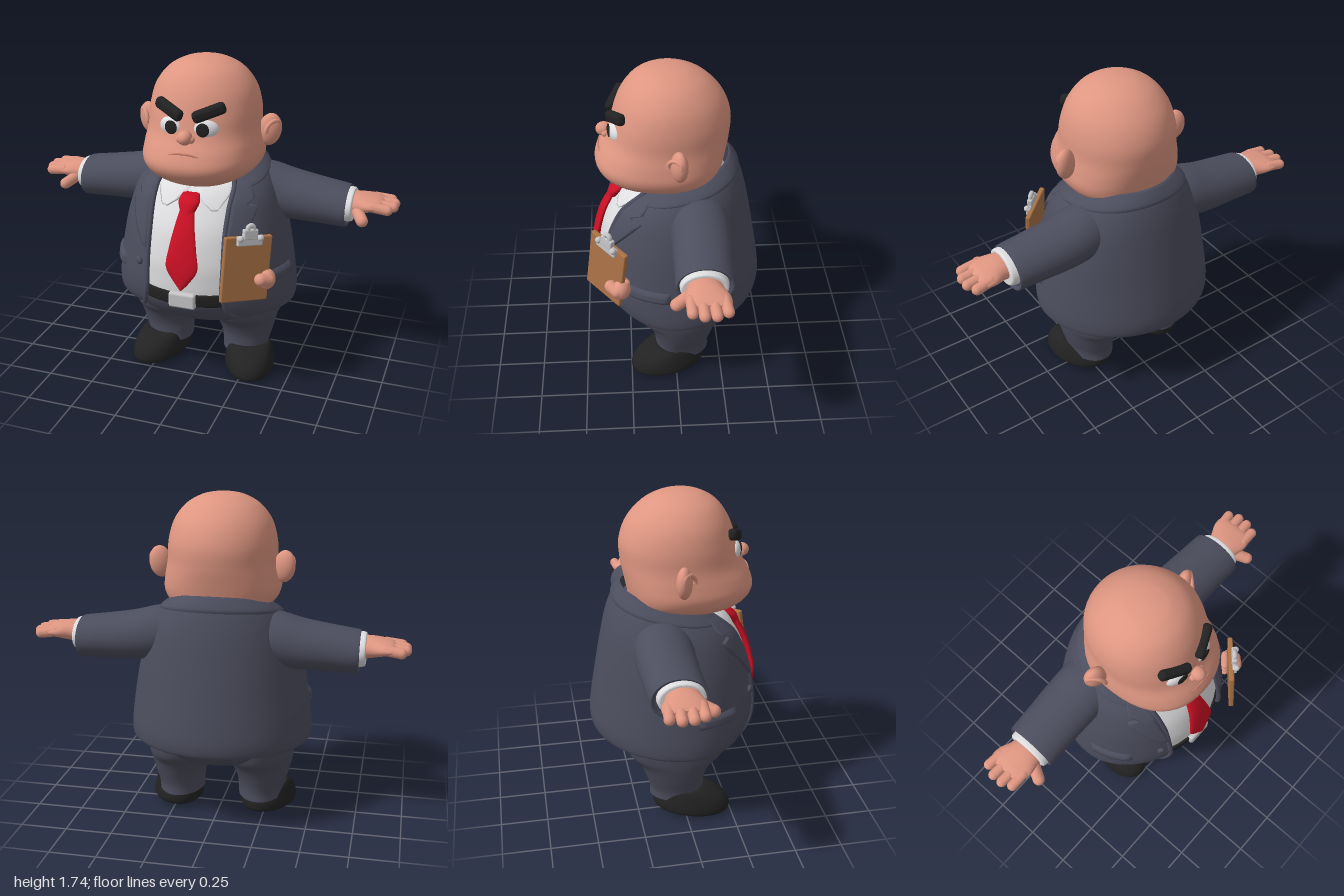
import * as THREE from 'three';
import { mergeVertices } from 'three/addons/utils/BufferGeometryUtils.js';
import { RoundedBoxGeometry } from 'three/addons/geometries/RoundedBoxGeometry.js';

const V = (x, y, z) => new THREE.Vector3(x, y, z);

const material = (name, color, side = THREE.FrontSide) => {
  const m = new THREE.MeshStandardMaterial({ color, side });
  m.name = name;
  return m;
};

// A row is a horizontal ring: [y, rx, rFront, rBack, tilt, cx, cz, fullness on the diagonals]
const full = (r) => [0, 1, 2, 3, 4, 5, 6, 7].map((i) => r[i] ?? 0);

// Smoothly interpolated ring at row number v
function rowAt(rows, v) {
  const n = rows.length - 1, i = Math.max(0, Math.min(Math.floor(v), n - 1)), t = v - i;
  const [a, b, c, d] = [i - 1, i, i + 1, i + 2].map((k) => full(rows[Math.max(0, Math.min(n, k))]));
  return b.map((q, k) => q + 0.5 * t * (c[k] - a[k] + t * (2 * a[k] - 5 * q + 4 * c[k] - d[k] + t * (3 * (q - c[k]) + d[k] - a[k]))));
}

// Point on a ring, angle measured from the front towards +x
function ringPoint([y, rx, rf, rb, tilt, cx, cz, fat], a, s = 1) {
  const c = Math.cos(a), r = s * (1 + fat * Math.sin(2 * a) ** 2), z = cz + r * (c > 0 ? rf : rb) * c;
  return V(cx + r * rx * Math.sin(a), y - tilt * z, z);
}

function grid(nu, nv, closed, fn) {
  const pos = [], idx = [], w = closed ? nu : nu + 1;
  for (let j = 0; j <= nv; j++) for (let i = 0; i < w; i++) pos.push(...fn(i / nu, j / nv, j, i).toArray());
  for (let j = 0; j < nv; j++) for (let i = 0; i < nu; i++) {
    const a = j * w + i, b = j * w + ((i + 1) % w), c = a + w, d = b + w;
    idx.push(a, b, d, a, d, c);
  }
  const g = new THREE.BufferGeometry();
  g.setAttribute('position', new THREE.Float32BufferAttribute(pos, 3));
  g.setIndex(idx);
  g.computeVertexNormals();
  return g;
}

// Closed, capped body through a stack of rings
function loft(rows, nu = 40, sub = 5) {
  const rings = [];
  const n = (rows.length - 1) * sub;
  for (let j = 0; j <= n; j++) rings.push(rowAt(rows, j / sub));
  const flat = (r) => [r[0], 0, 0, 0, r[4], r[5], r[6], 0];
  const all = [flat(rings[0]), rings[0], ...rings, rings[n], flat(rings[n])];
  return grid(nu, all.length - 1, true, (u, v, j) => ringPoint(all[j], u * Math.PI * 2));
}

// Raised cloth panel lying on a ring body; edges are [row, angle0, angle1]
function panel(rows, edges, lift, nu = 12, sub = 5) {
  const nv = (edges.length - 1) * sub;
  return grid(nu, nv, false, (u, v, j, i) => {
    const k = Math.min(Math.floor(j / sub), edges.length - 2), t = j / sub - k;
    const [r, a, b] = edges[k].map((e, m) => e + (edges[k + 1][m] - e) * t);
    const border = j === 0 || j === nv || i === 0 || i === nu;
    return ringPoint(rowAt(rows, r), a + (b - a) * u, border ? 1 : 1 + lift);
  });
}

export function createModel() {
  const model = new THREE.Group();
  model.name = 'businessman';
  const D = THREE.DoubleSide;
  const skin = material('skin', 0xde9681), lip = material('lip', 0xc98070);
  const suit = material('suit', 0x4c4d5d, D), shirt = material('shirt', 0xdedee0, D);
  const red = material('tieRed', 0xcc1024), black = material('black', 0x222222);
  const brown = material('boardBrown', 0xab7346), silver = material('silver', 0xc6c6c8);

  const add = (name, geo, mat, p = [0, 0, 0], rot = [0, 0, 0], s = [1, 1, 1], parent = model) => {
    const m = new THREE.Mesh(geo, mat);
    m.name = name;
    m.position.set(...p);
    m.rotation.set(...rot);
    m.scale.set(...s);
    parent.add(m);
    return m;
  };
  // Adds a left part and its mirrored right twin
  const pair = (name, geo, mat, p, rot, s) => {
    const m = add(name + 'Left', geo, mat, p, rot, s);
    m.updateMatrix();
    let g = geo.clone();
    if (!g.index) g = mergeVertices(g);
    g.applyMatrix4(m.matrix).scale(-1, 1, 1);
    const ix = g.index.array;
    for (let i = 0; i < ix.length; i += 3) [ix[i], ix[i + 1]] = [ix[i + 1], ix[i]];
    add(name + 'Right', g, mat);
  };
  const ball = new THREE.SphereGeometry(1, 28, 20);
  const capsule = (a, b, r) => {
    const d = b.clone().sub(a);
    const g = new THREE.CapsuleGeometry(r, d.length(), 6, 14);
    g.applyQuaternion(new THREE.Quaternion().setFromUnitVectors(V(0, 1, 0), d.clone().normalize()));
    const c = a.clone().add(b).multiplyScalar(0.5);
    return g.translate(c.x, c.y, c.z);
  };

  // Head
  const head = [[1.085, 0.01, 0.01, 0.01], [1.1, 0.12, 0.155, 0.15, 0.02], [1.14, 0.21, 0.275, 0.23, 0.04], [1.19, 0.28, 0.345, 0.27, 0.05],
    [1.25, 0.308, 0.375, 0.285, 0.05], [1.32, 0.303, 0.355, 0.3, 0.04], [1.4, 0.29, 0.31, 0.314, 0.02], [1.5, 0.284, 0.28, 0.316, 0.01],
    [1.6, 0.257, 0.245, 0.278], [1.68, 0.197, 0.19, 0.205], [1.725, 0.122, 0.12, 0.125], [1.741, 0.06, 0.06, 0.06], [1.746, 0.005, 0.005, 0.005]]
    .map(([y, a, b, c, fat]) => [y, a, b, c, 0, 0, 0.03, fat]);
  add('head', loft(head, 48), skin);
  pair('ear', ball, skin, [0.33, 1.375, -0.012], [0, 0.35, -0.14], [0.06, 0.085, 0.04]);
  pair('earRim', new THREE.TorusGeometry(0.034, 0.011, 10, 24, Math.PI * 1.4), skin, [0.35, 1.385, 0.012], [0, 0.85, -0.9], [1, 1.35, 1]);

  // Face
  pair('eye', ball, shirt, [0.09, 1.44, 0.292], [0, 0.28, 0], [0.066, 0.05, 0.036]);
  pair('pupil', ball, black, [0.082, 1.443, 0.326], [0, 0.12, 0], [0.033, 0.035, 0.008]);
  pair('eyebrow', new RoundedBoxGeometry(0.172, 0.06, 0.05, 4, 0.022), black, [0.103, 1.525, 0.29], [0, 0.42, 0.34]);
  add('nose', ball, skin, [0, 1.405, 0.352], [0, 0, 0], [0.037, 0.036, 0.042]);
  pair('nostril', ball, skin, [0.03, 1.395, 0.345], [0, 0, 0], [0.018, 0.018, 0.02]);
  const mouth = [-0.28, -0.14, 0, 0.14, 0.28].map((a) => ringPoint(rowAt(head, 5), a).add(V(0, 0.01 - a * a * 0.2, -0.003)));
  add('mouth', new THREE.TubeGeometry(new THREE.CatmullRomCurve3(mouth), 20, 0.005, 6), lip);

  // Shirt, collar wings and tie
  const body = [[0.48, 0.42, 0.37, 0.38], [0.55, 0.43, 0.4, 0.4], [0.65, 0.43, 0.405, 0.4], [0.75, 0.42, 0.4, 0.39],
    [0.9, 0.38, 0.365, 0.36], [1.03, 0.33, 0.3, 0.32, 0.05], [1.12, 0.27, 0.25, 0.27, 0.15], [1.16, 0.2, 0.2, 0.23, 0.2]];
  add('shirt', loft(body), shirt);
  pair('shirtCollar', panel(body, [[6.8, 0.05, 0.95], [6, 0.1, 0.8], [5.4, 0.2, 0.58], [4.9, 0.38, 0.41]], 0.07), shirt);
  const tie = [[0.615, 0.008, 0.425], [0.66, 0.045, 0.425], [0.73, 0.085, 0.42], [0.82, 0.075, 0.405], [0.92, 0.057, 0.375],
    [1.01, 0.04, 0.33]].map(([y, w, z]) => [y, w, 0.018, 0.02, 0, 0, z]);
  add('tie', loft(tie, 24), red);
  add('tieKnot', loft([[1.0, 0.036, 0.03, 0.03, 0, 0, 0.325], [1.05, 0.056, 0.035, 0.03, 0, 0, 0.297],
    [1.085, 0.045, 0.025, 0.03, 0, 0, 0.265]], 24), red);

  // Belt and trousers
  add('belt', loft([[0.515, 0.437, 0.408, 0.4], [0.52, 0.44, 0.415, 0.4], [0.575, 0.44, 0.417, 0.4], [0.58, 0.437, 0.41, 0.4]], 48, 2), black);
  add('buckle', new RoundedBoxGeometry(0.145, 0.085, 0.04, 3, 0.014), silver, [0, 0.547, 0.412]);
  add('hips', loft([[0.305, 0.03, 0.04, 0.08], [0.315, 0.14, 0.12, 0.19], [0.345, 0.3, 0.22, 0.28], [0.39, 0.395, 0.31, 0.34], [0.44, 0.423, 0.36, 0.375],
    [0.5, 0.433, 0.395, 0.39], [0.54, 0.433, 0.4, 0.39]]), suit);
  pair('trouserLeg', loft([[0.1, 0.125, 0.115, 0.18, 0, 0.225], [0.15, 0.127, 0.112, 0.18, 0, 0.226], [0.22, 0.143, 0.12, 0.2, 0, 0.23],
    [0.3, 0.172, 0.16, 0.235, 0, 0.221], [0.36, 0.194, 0.235, 0.29, 0, 0.208], [0.45, 0.2, 0.27, 0.31, 0, 0.208]]), suit);

  // Shoes, toes turned out
  pair('shoe', loft([[0.016, 0.12, 0.19, 0.185, 0.06], [0.03, 0.136, 0.212, 0.203, 0.06], [0.06, 0.137, 0.214, 0.206, 0.06],
    [0.095, 0.13, 0.193, 0.2, 0.04], [0.13, 0.12, 0.135, 0.195], [0.152, 0.108, 0.08, 0.185]]), black, [0.26, 0, 0.04], [0, 0.28, 0]);

  // Jacket: open-fronted shell, collar, lapels, pockets, button
  const coat = [[0.475, 0.445, 0.32, 0.42, 0.02], [0.445, 0.485, 0.355, 0.455, 0.02], [0.5, 0.492, 0.405, 0.47, 0.02], [0.6, 0.482, 0.428, 0.462],
    [0.75, 0.46, 0.412, 0.437], [0.9, 0.428, 0.375, 0.41, 0, 0, 0, 0.015], [1.05, 0.378, 0.315, 0.374, 0.06, 0, 0, 0.03],
    [1.14, 0.32, 0.25, 0.33, 0.18, 0, 0, 0.03], [1.185, 0.26, 0.2, 0.285, 0.27]];
  const opening = [0.28, 0.26, 0.225, 0.205, 0.205, 0.2, 0.2, 0.2, 0.19];
  const edgeAngle = (v) => {
    const i = Math.min(Math.floor(v), 7), o = opening[i] + (opening[i + 1] - opening[i]) * (v - i);
    return Math.asin(o / rowAt(coat, v)[1]);
  };
  add('jacket', grid(56, 40, false, (u, v) => {
    const e = edgeAngle(v * 8);
    return ringPoint(rowAt(coat, v * 8), e + (2 * Math.PI - 2 * e) * u);
  }), suit);
  const hemEdge = Array.from({ length: 15 }, (_, i) => 1 + i * 0.5).map((v) => ringPoint(rowAt(coat, v), edgeAngle(v)));
  pair('jacketEdge', new THREE.TubeGeometry(new THREE.CatmullRomCurve3(hemEdge), 40, 0.013, 8), suit);
  add('jacketCollar', panel(coat, [[6.9, 0.75, 2 * Math.PI - 0.75], [7.4, 0.75, 2 * Math.PI - 0.75], [8.05, 0.8, 2 * Math.PI - 0.8]], 0.025, 48), suit);
  pair('lapel', panel(coat, [[4.2, 0.46, 0.49], [5, 0.49, 0.72], [5.9, 0.55, 1.0], [6.1, 0.57, 0.82], [6.35, 0.59, 0.98], [7.6, 0.72, 1.05]], 0.04), suit);
  pair('pocketFlap', panel(coat, [[3.15, 0.92, 1.48], [3.6, 0.92, 1.48]], 0.035), suit);
  add('button', ball, suit, ringPoint(rowAt(coat, 3.75), -0.57, 1.02).toArray(), [0, -0.57, 0], [0.022, 0.022, 0.014]);

  // Arms: rings stacked along x; each is [x, y, ry, rz, z]
  const limb = (rows) => loft(rows.map(([x, y, ry, rz, z]) => [x, ry, rz, rz, 0, -y, z]), 32).rotateZ(-Math.PI / 2);
  pair('sleeve', limb([[0.2, 1.03, 0.135, 0.14, -0.11], [0.32, 1.018, 0.143, 0.152, -0.115], [0.45, 0.997, 0.132, 0.15, -0.118],
    [0.6, 0.983, 0.12, 0.145, -0.115], [0.725, 0.972, 0.112, 0.142, -0.112], [0.742, 0.972, 0.105, 0.134, -0.112], [0.732, 0.972, 0.09, 0.12, -0.112]]), suit);
  pair('cuff', limb([[0.68, 0.98, 0.09, 0.118, -0.108], [0.758, 0.983, 0.088, 0.117, -0.106], [0.772, 0.984, 0.078, 0.106, -0.106]]), shirt);
  pair('palm', limb([[0.72, 0.99, 0.06, 0.08, -0.105], [0.79, 0.998, 0.056, 0.09, -0.105], [0.85, 1.003, 0.043, 0.108, -0.112],
    [0.9, 1.003, 0.032, 0.106, -0.117], [0.925, 1.0, 0.02, 0.09, -0.117]]), skin);
  [[-0.2, 0.95], [-0.146, 0.973], [-0.09, 0.972], [-0.036, 0.95]].forEach(([z, x], i) =>
    pair('finger' + (i + 1), capsule(V(0.87, 1.006, z * 0.95), V(x, 0.997, z), 0.027), skin));
  pair('thumb', capsule(V(0.79, 0.98, -0.05), V(0.835, 0.95, 0.03), 0.031), skin);

  // Clipboard, turned outwards and leaning back
  const board = new THREE.Group();
  board.name = 'clipboard';
  const up = V(0.012, 0.36, -0.045).normalize(), w = V(0.19, 0, -0.17);
  w.addScaledVector(up, -w.dot(up)).normalize();
  board.quaternion.setFromRotationMatrix(new THREE.Matrix4().makeBasis(w, up, w.clone().cross(up)));
  board.position.set(0.322, 0.755, 0.362);
  model.add(board);
  const onBoard = (name, geo, mat, p, rot, s) => add(name, geo, mat, p, rot, s, board);
  onBoard('boardPlate', new RoundedBoxGeometry(0.26, 0.345, 0.028, 2, 0.008), brown, [0, 0, 0]);
  onBoard('clipBase', new RoundedBoxGeometry(0.14, 0.05, 0.026, 2, 0.008), silver, [0, 0.153, 0.018]);
  onBoard('clipNeck', new RoundedBoxGeometry(0.08, 0.055, 0.03, 2, 0.008), silver, [0, 0.187, 0.018]);
  onBoard('clipLoop', new THREE.TorusGeometry(0.016, 0.013, 8, 18), silver, [0, 0.217, 0.02]);
  for (const s of [-1, 1]) onBoard('clipKnob', ball, silver, [s * 0.055, 0.168, 0.028], [0, 0, 0], [0.017, 0.017, 0.017]);

  // Hand gripping the board
  onBoard('gripPalm', ball, skin, [0.12, -0.062, 0.002], [0, 0, 0], [0.048, 0.055, 0.052]);
  onBoard('gripThumb', capsule(V(0.075, -0.055, 0.032), V(0.12, -0.06, 0.028), 0.034), skin);
  for (let i = 0; i < 3; i++) onBoard('gripFinger' + (i + 1), capsule(V(0.06, -0.1 + i * 0.036, -0.03), V(0.125, -0.1 + i * 0.036, -0.025), 0.021), skin);

  return model;
}
